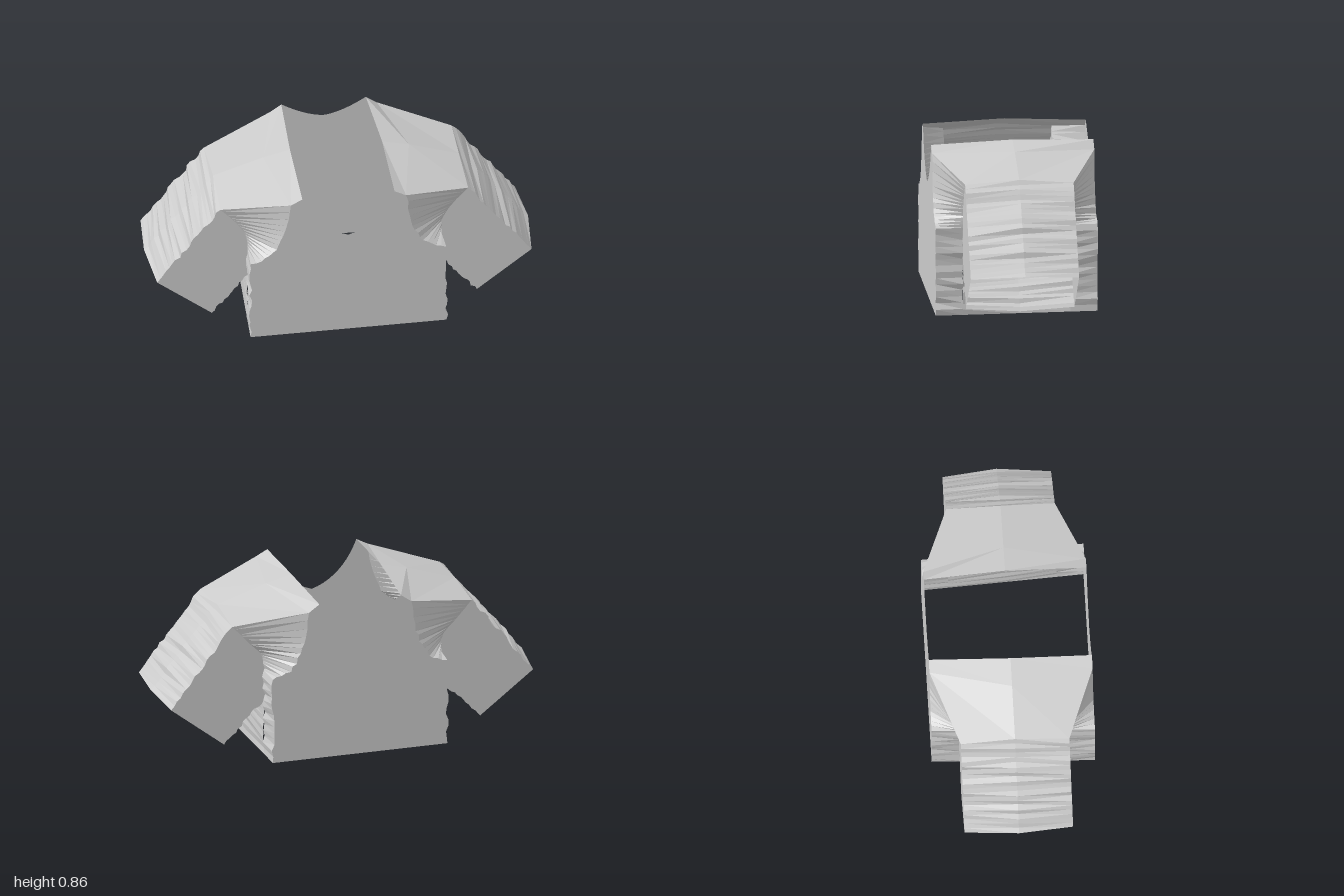
import * as THREE from 'three';

const FRONT = 0.42, SLEEVE = 0.28;

export function createModel() {
  const model = new THREE.Group();
  const fabric = new THREE.MeshStandardMaterial({ color: 0xcccccc, side: THREE.DoubleSide, flatShading: true });
  fabric.name = 'grey fabric';

  let seed = 7;
  const rand = () => (seed = (seed * 16807) % 2147483647) / 2147483647;

  // Straight edge from a to b (x, y, z), roughened sideways in the xy plane
  function roughEdge(a, b, n = 14, amount = 0.009) {
    const dx = b[0] - a[0], dy = b[1] - a[1], len = Math.hypot(dx, dy);
    return Array.from({ length: n + 1 }, (_, i) => {
      const t = i / n;
      const r = i === 0 || i === n ? 0 : (rand() * 2 - 1) * amount;
      return [a[0] + dx * t - (dy / len) * r, a[1] + dy * t + (dx / len) * r, a[2] + (b[2] - a[2]) * t];
    });
  }

  // Smooth curve through a few points, lightly roughened between its ends
  function roughCurve(points, n = 14, amount = 0.006) {
    const curve = new THREE.CatmullRomCurve3(points.map(p => new THREE.Vector3(...p)));
    return curve.getPoints(n).map((p, i) => {
      const r = i === 0 || i === n ? 0 : (rand() * 2 - 1) * amount;
      return [p.x + r, p.y + r, p.z];
    });
  }

  function add(parent, name, geometry) {
    const mesh = new THREE.Mesh(geometry, fabric);
    mesh.name = name;
    parent.add(mesh);
  }

  // Surface stretched between neighbouring edges with equal point counts
  function loft(parent, name, edges) {
    const n = edges[0].length, index = [];
    for (let e = 0; e < edges.length - 1; e++)
      for (let i = 0; i < n - 1; i++) {
        const a = e * n + i, b = a + n;
        index.push(a, b, a + 1, b, b + 1, a + 1);
      }
    const geometry = new THREE.BufferGeometry();
    geometry.setAttribute('position', new THREE.Float32BufferAttribute(edges.flat(2), 3));
    geometry.setIndex(index);
    geometry.computeVertexNormals();
    add(parent, name, geometry);
  }

  // Flat panel from an outline at one depth
  function panel(parent, name, outline, z) {
    const shape = new THREE.Shape(outline.map(p => new THREE.Vector2(p[0], p[1])));
    const geometry = new THREE.ShapeGeometry(shape);
    geometry.translate(0, 0, z);
    add(parent, name, geometry);
  }

  // The back is a little narrower than the front
  const sideX = z => 0.49 + 0.02 * (z / FRONT);
  const outlines = { 1: {}, '-1': {} };

  for (const side of [1, -1]) {
    const half = new THREE.Group();
    half.name = side > 0 ? 'leftHalf' : 'rightHalf';
    model.add(half);
    const flip = edge => edge.map(([x, y, z]) => [x * side, y, z]);
    const surface = (name, edges) => loft(half, name, edges.map(flip));
    const topEdges = {}, bottomEdges = {}, sideEdges = {};

    for (const face of [1, -1]) {
      const zb = FRONT * face, zs = SLEEVE * face;
      const k = face > 0 ? 1 : 0.92, sx = sideX(zs);

      // Body side between the large panel and the sleeve panel
      const bodyEdge = roughEdge([sideX(zb), 0, zb], [sideX(zb), 0.46, zb]);
      const innerEdge = roughEdge([sx, 0, zs], [sx, 0.46, zs]);
      surface('bodySide', [bodyEdge, innerEdge]);

      // Armhole gusset sloping in to the sleeve
      const armhole = roughCurve([[sideX(zb), 0.46, zb], [0.42 * k, 0.49, zb],
        [0.36 * k, 0.56, zb], [0.325 * k, 0.66, zb], [0.3 * k, 0.808, zb]]);
      const cap = roughCurve([[sx, 0.46, zs], [sx + 0.008, 0.54, zs],
        [0.56, 0.625, zs], [0.645, 0.72, zs]]);
      surface('armholeGusset', [armhole, cap]);

      // Flat sleeve panel
      topEdges[face] = roughEdge([0.645, 0.72, zs], [0.975, 0.297, zs], 20);
      bottomEdges[face] = roughEdge([sx, 0.295, zs], [0.69, 0.075, zs], 14);
      panel(half, face > 0 ? 'sleeveFront' : 'sleeveBack',
        flip([...bottomEdges[face], ...[...topEdges[face]].reverse(), ...[...cap].reverse()]), zs);

      sideEdges[face] = roughEdge([sx, 0, zs], [sx, 0.295, zs], 10, 0.006);
      outlines[face][side] = flip([...bodyEdge, ...armhole.slice(1)]);
    }

    // Surfaces that run from front to back, creased along the middle
    surface('underarmSide', [sideEdges[1], roughEdge([0.49, 0, 0], [0.49, 0.31, 0], 10, 0.006), sideEdges[-1]]);
    surface('sleeveTop', [topEdges[1], roughEdge([0.64, 0.74, 0], [1, 0.31, 0], 20), topEdges[-1]]);
    surface('sleeveUnderside', [bottomEdges[1], roughEdge([0.49, 0.31, 0], [0.695, 0.058, 0], 14), bottomEdges[-1]]);
    surface('shoulder', [
      [[0.24, 0.84, FRONT], [0.3, 0.808, FRONT], [0.645, 0.72, SLEEVE]],
      [[0.24, 0.86, 0], [0.38, 0.826, 0], [0.64, 0.74, 0]],
      [[0.22, 0.848, -FRONT], [0.276, 0.808, -FRONT], [0.645, 0.72, -SLEEVE]],
    ]);
  }

  // Front and back body panels with scooped necklines
  for (const face of [1, -1]) {
    const [x, y, cx, cy, dip] = face > 0 ? [0.24, 0.84, 0.165, 0.645, 0.592] : [0.22, 0.848, 0.09, 0.765, 0.758];
    const v = (a, b) => new THREE.Vector2(a, b);
    const scoop = new THREE.QuadraticBezierCurve(v(x, y), v(cx, cy), v(0, dip)).getPoints(10).map(p => [p.x, p.y]);
    const mirrored = scoop.slice(0, -1).reverse().map(([a, b]) => [-a, b]);
    panel(model, face > 0 ? 'bodyFront' : 'bodyBack',
      [...outlines[face][1], ...scoop, ...mirrored, ...outlines[face][-1].reverse()], FRONT * face);
  }
  return model;
}
